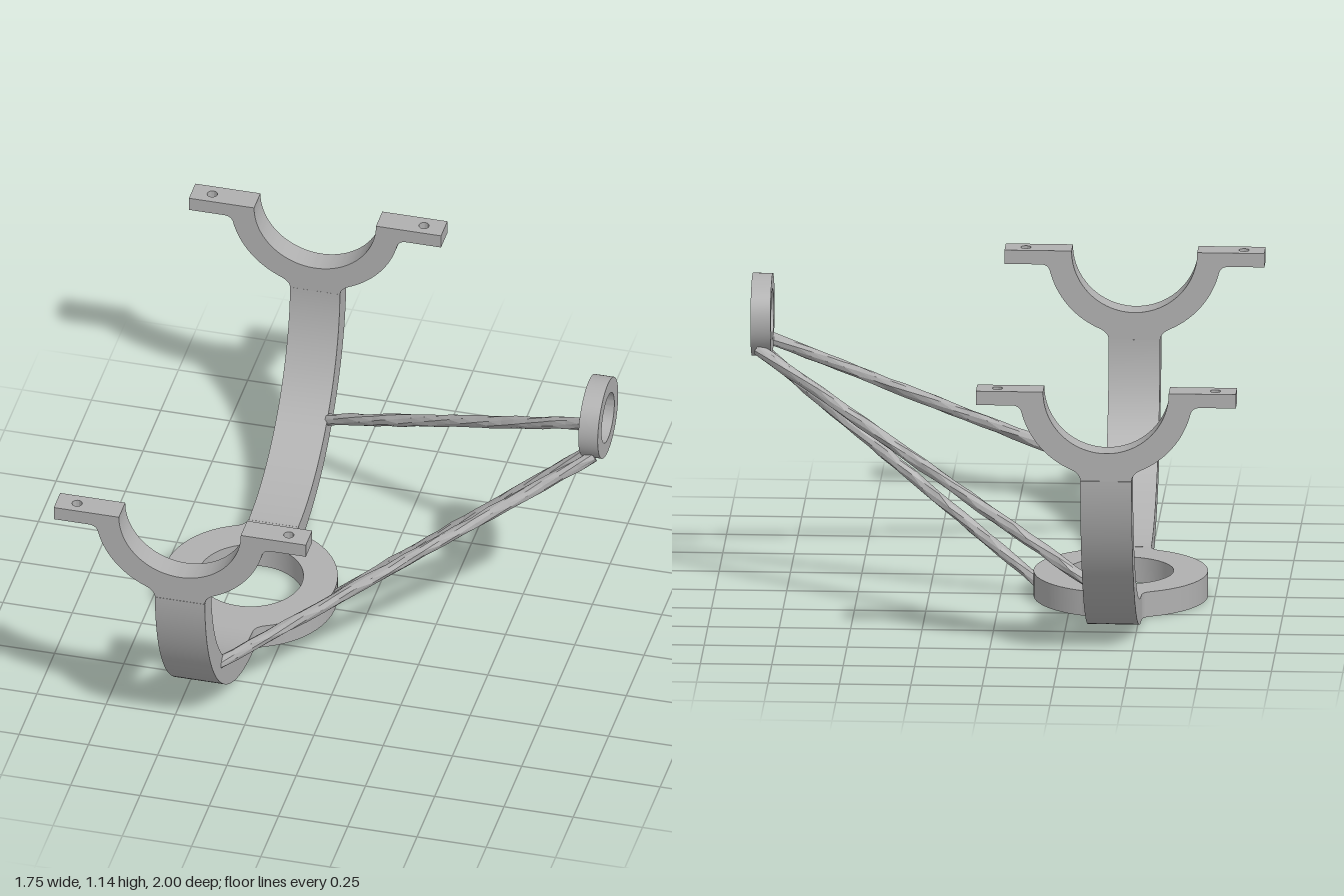
import * as THREE from 'three';
import { toCreasedNormals } from 'three/addons/utils/BufferGeometryUtils.js';

const AXIS_X = -0.42; // centre line of the cradle
const HALF_W = 0.09;  // half width of the curved arms
const T = 0.09;       // plate thickness
const R = 0.305;      // outer radius of base ring and saddles

const steel = new THREE.MeshStandardMaterial({ color: 0xb0b0b0 });
steel.name = 'grey metal';

function mesh(name, geometry) {
  const m = new THREE.Mesh(geometry, steel);
  m.name = name;
  return m;
}

function extrude(shape, depth) {
  const g = new THREE.ExtrudeGeometry(shape, { depth, bevelEnabled: false, curveSegments: 40 });
  return toCreasedNormals(g, 0.5);
}

function addHole(shape, x, y, r) {
  const hole = new THREE.Path();
  hole.absarc(x, y, r, 0, Math.PI * 2, true);
  shape.holes.push(hole);
}

// Angle on the outer circle where the fillets into the arms begin
const A = Math.acos(0.125 / R);
const FY = R * Math.sin(A);

// Flat ring with a filleted stub on each side for the arms
function baseGeometry() {
  const s = new THREE.Shape();
  s.absarc(0, 0, R, -A, A, false);
  s.quadraticCurveTo(HALF_W, 0.294, HALF_W, 0.325);
  s.lineTo(-HALF_W, 0.325);
  s.quadraticCurveTo(-HALF_W, 0.294, -0.125, FY);
  s.absarc(0, 0, R, Math.PI - A, Math.PI + A, false);
  s.quadraticCurveTo(-HALF_W, -0.294, -HALF_W, -0.325);
  s.lineTo(HALF_W, -0.325);
  s.quadraticCurveTo(HALF_W, -0.294, 0.125, -FY);
  addHole(s, 0, 0, 0.185);
  return extrude(s, T).rotateX(-Math.PI / 2);
}

// Quarter-circle arm rising from the base to the saddle
function armGeometry() {
  const s = new THREE.Shape();
  const a0 = -Math.PI / 2 + 0.036, a1 = -0.03;
  s.absarc(0.3, 0.7, 0.7, a0, a1, false);
  s.absarc(0.3, 0.7, 0.7 - T, a1, a0, true);
  s.closePath();
  return extrude(s, HALF_W * 2).rotateY(-Math.PI / 2).translate(HALF_W, 0, 0);
}

// Half-round saddle with a short stem, open at the top
function saddleGeometry() {
  const s = new THREE.Shape();
  const b = Math.atan2(0.075, 0.296);
  s.moveTo(0.22, 0);
  s.lineTo(0.33, 0);
  s.lineTo(0.33, -0.05);
  s.quadraticCurveTo(0.302, -0.05, R * Math.cos(b), -R * Math.sin(b));
  s.absarc(0, 0, R, -b, -A, true);
  s.quadraticCurveTo(HALF_W, -0.294, HALF_W, -0.32);
  s.lineTo(-HALF_W, -0.32);
  s.quadraticCurveTo(-HALF_W, -0.294, -0.125, -FY);
  s.absarc(0, 0, R, -Math.PI + A, -Math.PI + b, true);
  s.quadraticCurveTo(-0.302, -0.05, -0.33, -0.05);
  s.lineTo(-0.33, 0);
  s.lineTo(-0.22, 0);
  s.absarc(0, 0, 0.22, Math.PI, Math.PI * 2, false);
  return extrude(s, T).translate(0, 1, 1 - T);
}

// Bolt flange with a vertical hole
function flangeGeometry(side) {
  const s = new THREE.Shape();
  const x0 = side > 0 ? 0.33 : -0.455;
  s.moveTo(x0, -T / 2);
  s.lineTo(x0 + 0.125, -T / 2);
  s.lineTo(x0 + 0.125, T / 2);
  s.lineTo(x0, T / 2);
  s.closePath();
  addHole(s, side * 0.382, 0, 0.018);
  return extrude(s, 0.05).rotateX(-Math.PI / 2).translate(0, 0.95, 1 - T / 2);
}

// Rough, slightly twisted rod between two points
function strut(name, from, to, seed) {
  const rand = () => {
    seed = (seed * 16807) % 2147483647;
    return seed / 2147483647;
  };
  const dir = to.clone().sub(from);
  const length = dir.length();
  const sides = 8, rows = 22;
  let g = new THREE.CylinderGeometry(0.022, 0.022, length, sides, rows);
  const p = g.attributes.position;
  const scale = Array.from({ length: (rows + 1) * sides }, () => 0.86 + rand() * 0.26);
  for (let i = 0; i < p.count; i++) {
    const x = p.getX(i), z = p.getZ(i), y = p.getY(i);
    if (Math.hypot(x, z) < 0.001) continue;
    const row = Math.round((y / length + 0.5) * rows);
    const col = Math.round((Math.atan2(z, x) / (Math.PI * 2) + 1) * sides) % sides;
    const k = scale[row * sides + col];
    const t = row * 0.2, c = Math.cos(t) * k, n = Math.sin(t) * k;
    p.setXYZ(i, x * c - z * n, y, x * n + z * c);
  }
  g = g.toNonIndexed();
  g.computeVertexNormals();
  const m = mesh(name, g);
  m.position.copy(from).add(to).multiplyScalar(0.5);
  m.quaternion.setFromUnitVectors(new THREE.Vector3(0, 1, 0), dir.normalize());
  return m;
}

export function createModel() {
  const model = new THREE.Group();
  model.name = 'cradleBracket';

  const base = mesh('baseRing', baseGeometry());
  base.position.x = AXIS_X;
  model.add(base);

  // Front and back arms with their saddles
  for (const [name, turn] of [['front', 0], ['back', Math.PI]]) {
    const arm = new THREE.Group();
    arm.name = name + 'Arm';
    arm.add(mesh('curvedArm', armGeometry()), mesh('saddle', saddleGeometry()));
    arm.add(mesh('leftFlange', flangeGeometry(1)), mesh('rightFlange', flangeGeometry(-1)));
    arm.position.x = AXIS_X;
    arm.rotation.y = turn;
    model.add(arm);
  }

  // Small upright ring held out to the side
  const ring = new THREE.Shape();
  ring.absarc(0, 0, 0.145, 0, Math.PI * 2, false);
  addHole(ring, 0, 0, 0.09);
  const eye = mesh('sideRing', extrude(ring, 0.07).rotateY(Math.PI / 2));
  eye.position.set(0.8, 1, 0);
  model.add(eye);

  // Three struts carrying the side ring
  const V = (x, y, z) => new THREE.Vector3(x, y, z);
  model.add(strut('frontStrut', V(-0.345, 0.25, 0.755), V(0.845, 0.9, 0.1), 11));
  model.add(strut('backStrut', V(-0.345, 0.25, -0.755), V(0.845, 0.9, -0.1), 29));
  model.add(strut('middleStrut', V(-0.13, 0.045, 0), V(0.85, 0.885, 0), 53));
  return model;
}
